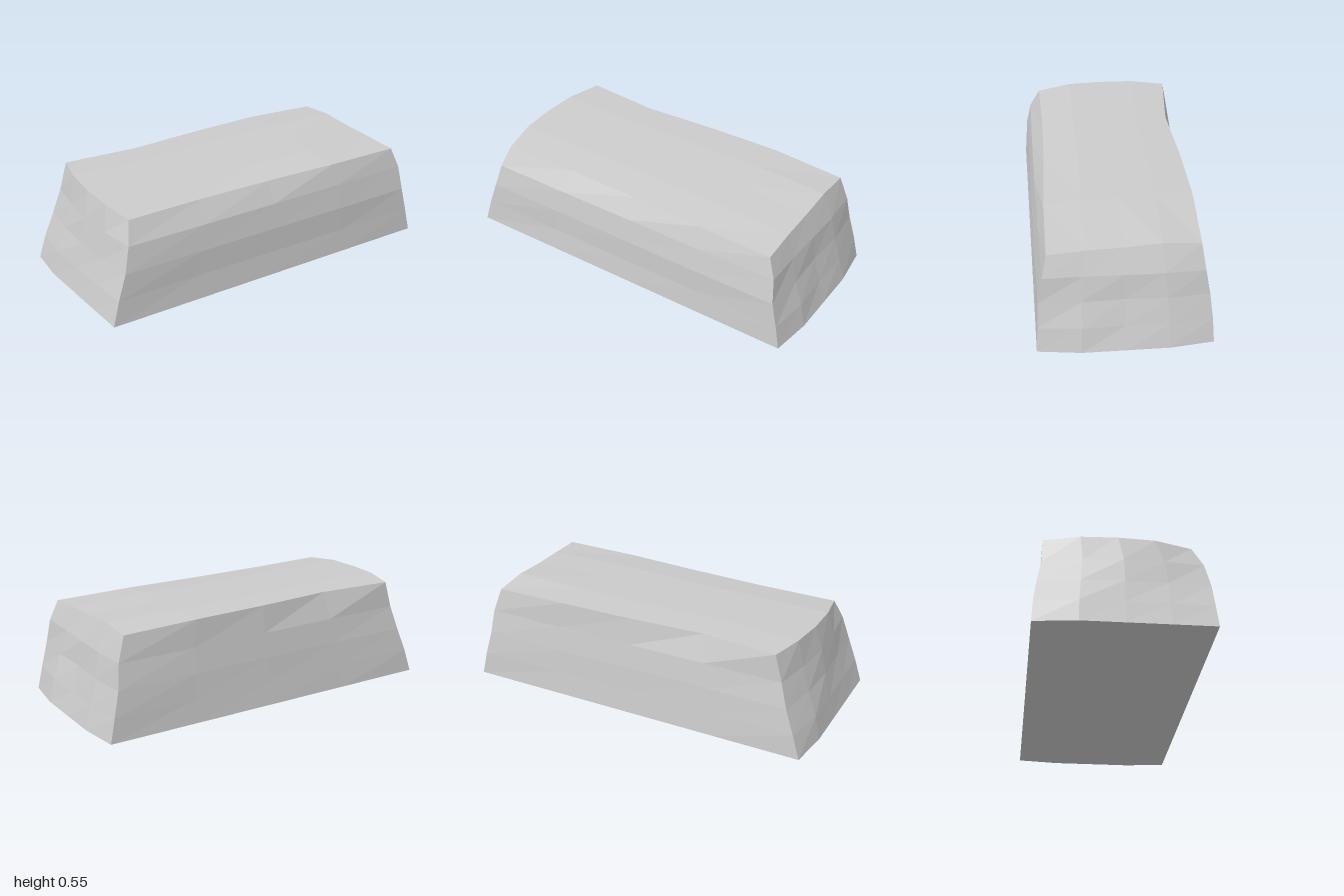
import * as THREE from 'three';

const lerp = THREE.MathUtils.lerp;

// Outline by height row (bottom to top)
const leftX = [-1, -0.97, -0.93, -0.9, -0.87];
const rightX = [1, 0.965, 0.925, 0.9, 0.85];
const frontZ = [0.45, 0.442, 0.435, 0.41, 0];
const backZ = [-0.45, -0.443, -0.428, -0.405, 0];
const rowY = [0, 0.13, 0.265, 0.4];

// Top rim by column (left to right), and how far the ends draw in by depth (back to front)
const topFrontZ = [0.355, 0.35, 0.36, 0.38, 0.385];
const topBackZ = [-0.4, -0.365, -0.39, -0.4, -0.385];
const topY = [0.548, 0.55, 0.543, 0.536, 0.515];
const leftInset = [[0.028, 0, 0, 0, 0], [0.07, 0.02, 0, 0, 0.03]];
const rightInset = [[0.028, 0, 0, 0, 0.03], [0, 0, 0, 0, -0.005]];

// Small repeatable chisel marks on the side faces
const chip = (i, j, k) => 0.006 * Math.sin(i * 12.9 + j * 7.3 + k * 4.1);

// Position of one node of the 4 x 4 x 4 lattice
function place(i, j, k) {
  const t = j / 4;
  const x0 = leftX[j] + lerp(leftInset[0][k], leftInset[1][k], t);
  const x1 = rightX[j] - lerp(rightInset[0][k], rightInset[1][k], t);
  const z0 = j === 4 ? topBackZ[i] : backZ[j];
  const z1 = j === 4 ? topFrontZ[i] : frontZ[j];
  let x = lerp(x0, x1, i / 4);
  let z = lerp(z0, z1, k / 4);
  let y = j === 4 ? topY[k] : rowY[j];
  if (j === 4 && i === 4) y -= [0.015, 0.004, 0.012, 0.012, 0.003][k];
  if (j > 0 && j < 4) {
    if (k % 4 === 0 && i % 4 !== 0) z += chip(i, j, k);
    if (i % 4 === 0 && k % 4 !== 0) x += chip(i, j, k);
  }
  return [x, y, z];
}

export function createModel() {
  const group = new THREE.Group();
  group.name = 'stoneBlock';

  // Tapered, rough-hewn block
  const box = new THREE.BoxGeometry(4, 4, 4, 4, 4, 4);
  const p = box.attributes.position;
  for (let n = 0; n < p.count; n++) {
    const node = [p.getX(n), p.getY(n), p.getZ(n)].map((v) => Math.round(v + 2));
    p.setXYZ(n, ...place(...node));
  }
  const geometry = box.toNonIndexed();
  geometry.computeVertexNormals();

  const block = new THREE.Mesh(
    geometry,
    new THREE.MeshStandardMaterial({ color: 0xcccccc, flatShading: true })
  );
  block.name = 'block';
  group.add(block);
  return group;
}
